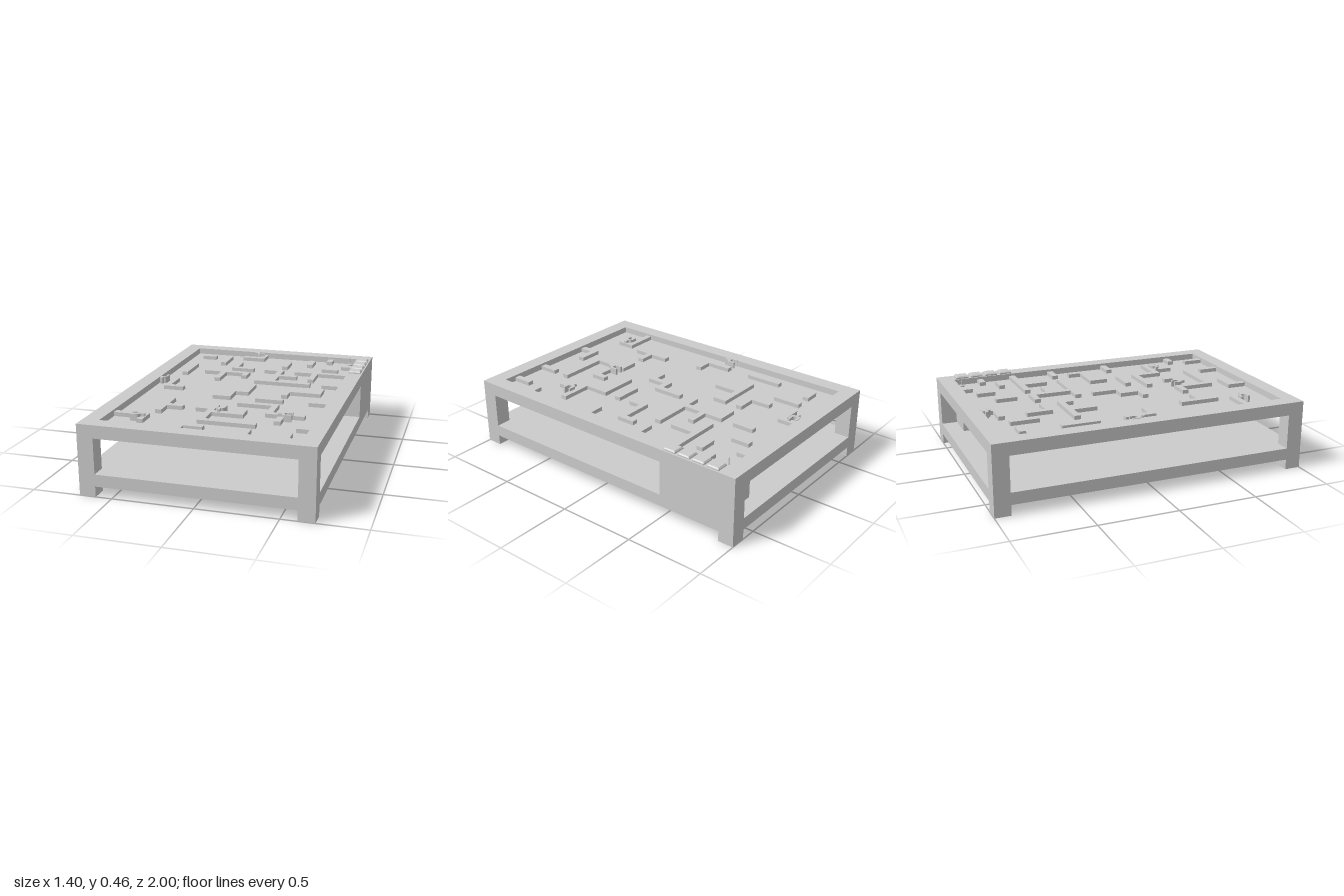
import * as THREE from 'three';

const material = new THREE.MeshStandardMaterial({ color: 0xcccccc, flatShading: true });

function add(parent, name, geometry, x = 0, y = 0, z = 0) {
  const mesh = new THREE.Mesh(geometry, material);
  mesh.name = name;
  mesh.position.set(x, y, z);
  parent.add(mesh);
  return mesh;
}

// Box given by its minimum and maximum on each axis
function box(parent, name, x0, x1, y0, y1, z0, z1) {
  return add(parent, name, new THREE.BoxGeometry(x1 - x0, y1 - y0, z1 - z0),
    (x0 + x1) / 2, (y0 + y1) / 2, (z0 + z1) / 2);
}

// Flat shape laid on the ground plane (shape y points to -z), extruded upward
function slab(shape, height) {
  return new THREE.ExtrudeGeometry(shape, { depth: height, bevelEnabled: false }).rotateX(-Math.PI / 2);
}

function rect(Type, hx, hy) {
  return new Type([[-hx, -hy], [hx, -hy], [hx, hy], [-hx, hy]].map(p => new THREE.Vector2(...p)));
}

const FLOOR = 0.4, RIM = 0.44, WALL_TOP = 0.425, HALF = 0.02;

// Walls running along x: [x0, x1, z]
const wallsAlongX = [
  [-0.52, -0.42, -0.765], [-0.22, -0.06, -0.805], [0.52, 0.6, -0.725], [0.4, 0.515, -0.625],
  [-0.22, -0.06, -0.5], [0.02, 0.155, -0.5], [0.115, 0.275, -0.38], [0.02, 0.4, -0.225],
  [0.235, 0.6, -0.5], [-0.38, -0.06, -0.38], [0.48, 0.6, -0.225], [-0.52, -0.385, 0.055],
  [-0.065, 0.06, 0.055], [-0.145, -0.025, 0.175], [0.275, 0.515, -0.025], [0.135, 0.315, 0.175],
  [0.48, 0.6, 0.175], [0.055, 0.315, 0.295], [0.275, 0.515, 0.455], [-0.385, -0.245, 0.455],
  [-0.16, -0.04, 0.455], [-0.08, 0.275, 0.675], [-0.06, 0.155, 0.515],
  [-0.6, -0.385, 0.675], [0.515, 0.6, 0.675], [-0.16, -0.005, 0.795],
];

// Walls running along z: [x, z0, z1]
const wallsAlongZ = [
  [-0.08, -0.9, -0.785], [-0.2, -0.645, -0.48], [0.135, -0.52, -0.205], [0.38, -0.52, -0.325],
  [-0.24, -0.4, -0.205], [-0.08, -0.4, -0.305], [-0.5, -0.125, 0.075], [0.04, -0.125, 0.075],
  [-0.045, 0.035, 0.195], [0.495, -0.125, -0.005], [0.295, -0.045, 0.075], [0.295, 0.275, 0.475],
  [0.38, 0.435, 0.6], [-0.365, 0.315, 0.575], [-0.06, 0.435, 0.695], [0.135, 0.435, 0.535],
  [-0.405, 0.655, 0.775], [-0.14, 0.775, 0.9], [0.255, 0.775, 0.9], [0.495, 0.775, 0.9],
  [0.415, -0.9, -0.825], [0.295, -0.825, -0.705], [0.135, -0.745, -0.605],
  [-0.32, -0.785, -0.605], [-0.5, -0.525, -0.285],
];

// Small forked piece: a rounded U with a short stem, prongs toward -z
function forkGeometry() {
  const s = new THREE.Shape();
  s.moveTo(-0.03, 0.04);
  s.lineTo(-0.03, 0.005);
  s.quadraticCurveTo(-0.03, -0.018, -0.008, -0.018);
  s.lineTo(-0.008, -0.045);
  s.lineTo(0.008, -0.045);
  s.lineTo(0.008, -0.018);
  s.quadraticCurveTo(0.03, -0.018, 0.03, 0.005);
  s.lineTo(0.03, 0.04);
  s.lineTo(0.016, 0.04);
  s.lineTo(0.016, 0.008);
  s.quadraticCurveTo(0.016, -0.004, 0, -0.004);
  s.quadraticCurveTo(-0.016, -0.004, -0.016, 0.008);
  s.lineTo(-0.016, 0.04);
  return slab(s, 0.043);
}

export function createModel() {
  const model = new THREE.Group();
  model.name = 'mazeTable';

  // Frame: four legs, lower shelf, top rim and the sunken playing floor
  for (const sx of [-1, 1]) for (const sz of [-1, 1]) {
    add(model, 'leg', new THREE.BoxGeometry(0.1, 0.36, 0.1), sx * 0.65, 0.18, sz * 0.95);
  }
  box(model, 'lowerShelf', -0.7, 0.7, 0.065, 0.14, -1, 1);
  const rim = rect(THREE.Shape, 0.7, 1);
  rim.holes.push(rect(THREE.Path, 0.6, 0.9));
  add(model, 'topRim', slab(rim, 0.08), 0, 0.36, 0);
  box(model, 'mazeFloor', -0.6, 0.6, 0.36, FLOOR, -0.9, 0.9);

  // Closed compartment at the back corner
  box(model, 'compartment', 0.4, 0.7, 0.14, 0.36, -0.9, -0.48);

  // Maze walls
  const maze = new THREE.Group();
  maze.name = 'mazeWalls';
  for (const [x0, x1, z] of wallsAlongX) box(maze, 'wall', x0, x1, FLOOR, WALL_TOP, z - HALF, z + HALF);
  for (const [x, z0, z1] of wallsAlongZ) box(maze, 'wall', x - HALF, x + HALF, FLOOR, WALL_TOP, z0, z1);
  model.add(maze);

  // Forked pieces: [x, z, turn in quarter turns]
  const fork = forkGeometry();
  for (const [x, z, turn] of [[0, 0.48, 0], [-0.435, 0.72, 1], [0.405, 0.495, -1],
    [-0.115, -0.875, -1], [-0.58, -0.08, 0]]) {
    add(model, 'forkPiece', fork, x, FLOOR, z).rotation.y = turn * Math.PI / 2;
  }

  // Pin on a round base
  add(model, 'pinBase', new THREE.CylinderGeometry(0.018, 0.018, 0.01, 20), 0.56, FLOOR + 0.005, -0.86);
  add(model, 'pin', new THREE.CylinderGeometry(0.003, 0.003, 0.06, 8), 0.56, FLOOR + 0.03, -0.86);

  // Row of square buttons with chamfered caps
  const cap = new THREE.CylinderGeometry(0.033 * Math.SQRT2, 0.039 * Math.SQRT2, 0.007, 4).rotateY(Math.PI / 4);
  for (let i = 0; i < 4; i++) {
    const z = -0.842 + i * 0.1;
    box(model, 'buttonBase', 0.61, 0.69, RIM, RIM + 0.008, z - 0.04, z + 0.04);
    add(model, 'buttonCap', cap, 0.65, RIM + 0.0115, z);
  }
  return model;
}
